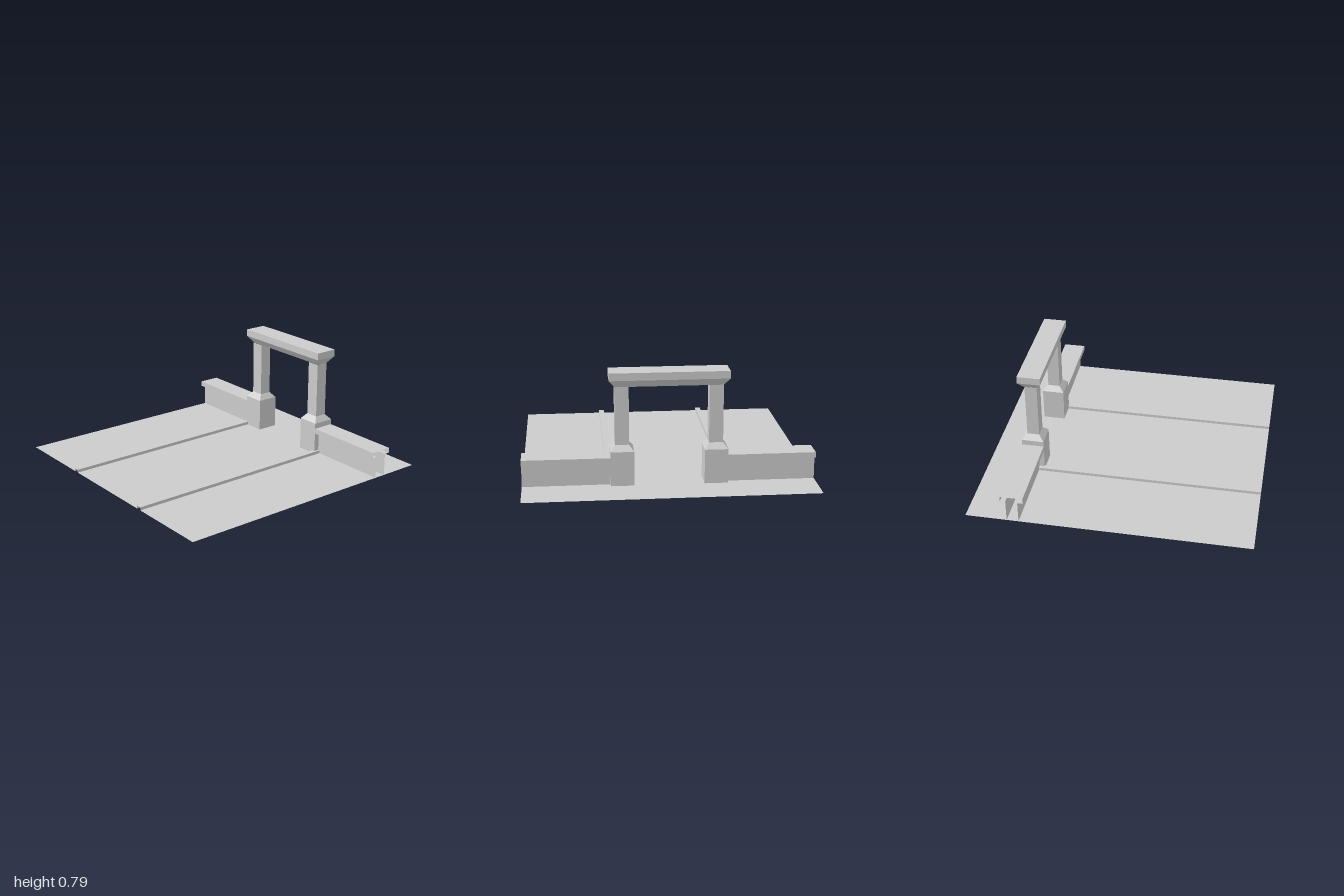
import * as THREE from 'three';

const solid = new THREE.MeshStandardMaterial({ color: 0xcccccc });
const thin = new THREE.MeshStandardMaterial({ color: 0xcccccc, side: THREE.DoubleSide });

// Flat-shaded geometry from quads of [x, y, z] corners, counter-clockwise from outside
function quads(list) {
  const pos = list.flatMap(([a, b, c, d]) => [a, b, c, a, c, d].flat());
  const geo = new THREE.BufferGeometry();
  geo.setAttribute('position', new THREE.Float32BufferAttribute(pos, 3));
  geo.computeVertexNormals();
  return geo;
}

// Stack of rectangular sections [y, halfX, halfZ], optionally closed at both ends
function loft(sections, cx, cz, capped) {
  const rings = sections.map(([y, w, d]) => [
    [cx - w, y, cz + d], [cx + w, y, cz + d], [cx + w, y, cz - d], [cx - w, y, cz - d],
  ]);
  const list = [];
  for (let s = 0; s + 1 < rings.length; s++) {
    for (let i = 0; i < 4; i++) {
      const j = (i + 1) % 4;
      list.push([rings[s][i], rings[s][j], rings[s + 1][j], rings[s + 1][i]]);
    }
  }
  if (capped) list.push([...rings[0]].reverse(), rings[rings.length - 1]);
  return quads(list);
}

// Open profile swept straight from t0 to t1; place() turns (u, v, t) into a point
function sweep(profile, t0, t1, place) {
  const list = [];
  for (let i = 0; i + 1 < profile.length; i++) {
    const [a, b] = [profile[i], profile[i + 1]];
    list.push([place(...a, t0), place(...b, t0), place(...b, t1), place(...a, t1)]);
  }
  return quads(list);
}

export function createModel() {
  const model = new THREE.Group();
  model.name = 'gateway';
  const add = (name, geo, mat) => {
    const mesh = new THREE.Mesh(geo, mat);
    mesh.name = name;
    model.add(mesh);
    return mesh;
  };

  const CX = 0.662; // centre line of the wall and arch
  const curbEnd = 0.66;
  const curbs = [[-0.423, -0.385], [0.378, 0.416]]; // z ranges

  // Ground sheet, notched beneath the two hollow curbs
  const outline = [[-1, 1], [-1, -1], [1, -1], [1, 1]];
  const notches = curbs.flatMap(([a, b]) => [[-1, -a], [curbEnd, -a], [curbEnd, -b], [-1, -b]]);
  const path = [outline[0], ...notches, ...outline.slice(1)];
  const ground = new THREE.ShapeGeometry(new THREE.Shape(path.map(([x, y]) => new THREE.Vector2(x, y))));
  add('ground', ground.rotateX(-Math.PI / 2), thin);

  // Path curbs
  curbs.forEach(([a, b], i) => {
    const profile = [[b, 0], [b, 0.022], [a, 0.022], [a, 0]];
    add(i ? 'frontCurb' : 'backCurb',
      sweep(profile, -1, curbEnd, (z, y, x) => [x, y, z]).scale(1, 1, 1), thin);
  });

  // Low walls with overhanging coping, open at the outer ends
  const wallProfile = [
    [-0.042, 0], [-0.042, 0.162], [-0.08, 0.162], [-0.08, 0.2],
    [0.08, 0.2], [0.08, 0.162], [0.042, 0.162], [0.042, 0],
  ];
  const placeWall = (u, y, z) => [CX + u, y, z];
  add('frontWall', sweep(wallProfile, 1, 0.4, placeWall), thin);
  add('backWall', sweep(wallProfile, -0.397, -1, placeWall), thin);

  // Posts: square plinth, sloped shoulder, slim shaft
  const post = [[0, 0.08, 0.08], [0.24, 0.08, 0.08], [0.28, 0.044, 0.048], [0.683, 0.044, 0.048]];
  add('frontPost', loft(post, CX, 0.321, false), solid);
  add('backPost', loft(post, CX, -0.317, false), solid);

  // Lintel with sloped underside
  const lintel = [[0.683, 0.043, 0.366], [0.735, 0.083, 0.405], [0.787, 0.083, 0.405]];
  add('lintel', loft(lintel, CX + 0.002, 0.002, true), solid);

  return model;
}
